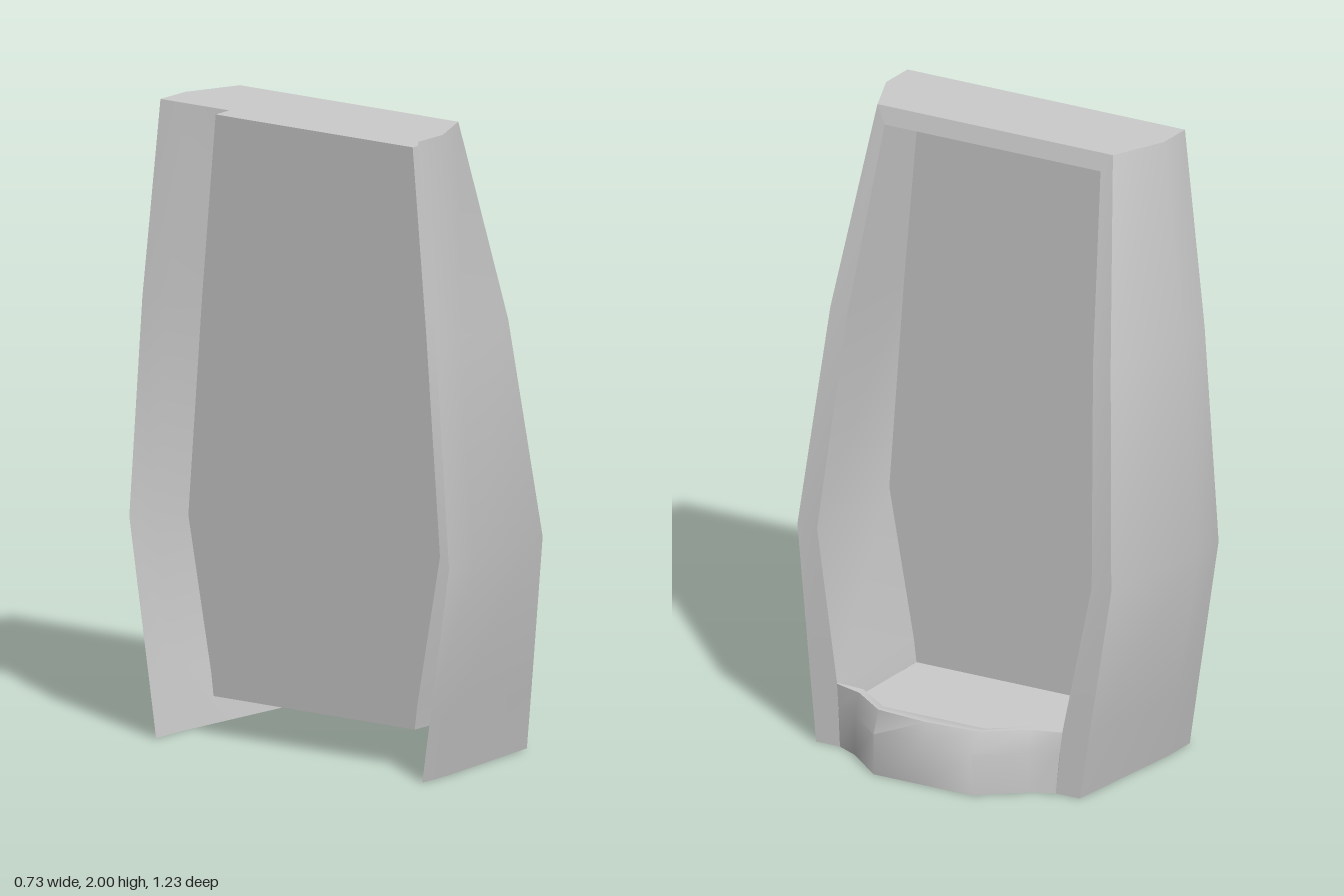
import * as THREE from 'three';
import { toCreasedNormals } from 'three/addons/utils/BufferGeometryUtils.js';

const material = new THREE.MeshStandardMaterial({ color: 0xcccccc, side: THREE.DoubleSide });

// Levels of the hood: y, front edge x, and half widths at the back, outer front and opening
const levels = [
  { y: 0, x: 0.213, back: 0.512, front: 0.47, open: 0.385 },
  { y: 0.2, x: 0.202, back: 0.542, front: 0.497, open: 0.402 },
  { y: 0.68, x: 0.175, back: 0.615, front: 0.56, open: 0.49 },
  { y: 1.37, x: 0.08, back: 0.565, front: 0.5, open: 0.437 },
  { y: 2, x: -0.065, back: 0.495, front: 0.42, open: 0.385 },
];
const BACK = -0.365, PANEL = -0.24, FLOOR = 0.127;
const CEILING = 1.945, CEILING_X = -0.05;

// Skin over rows of points; columns run right and rows run up as seen from the face
function skin(name, rows, crease = 0.5) {
  const cols = rows[0].length, index = [];
  for (let i = 0; i < rows.length - 1; i++) {
    for (let j = 0; j < cols - 1; j++) {
      const a = i * cols + j, b = a + 1, d = a + cols, c = d + 1;
      index.push(a, b, c, a, c, d);
    }
  }
  const geometry = new THREE.BufferGeometry();
  geometry.setAttribute('position', new THREE.Float32BufferAttribute(rows.flat(2), 3));
  geometry.setIndex(index);
  const mesh = new THREE.Mesh(toCreasedNormals(geometry, crease), material);
  mesh.name = name;
  return mesh;
}

const mirror = ([x, y, z]) => [x, y, -z];

// A skin on the +z side and its mirror image on the -z side
function pair(name, rows) {
  return [
    skin(name + 'Left', rows),
    skin(name + 'Right', rows.map((row) => row.map(mirror).reverse())),
  ];
}

export function createModel() {
  const group = new THREE.Group();
  group.name = 'hoodedBooth';

  // Outer side walls, straight at the back and tapering to the front edge
  group.add(...pair('sideWall', levels.map((l) => [
    [BACK, l.y, l.back], [PANEL, l.y, l.back], [l.x, l.y, l.front],
  ])));

  // Inner edge of the opening, stopping at the ceiling
  const edge = levels.map((l) => (l.y === 2 ? [CEILING_X, CEILING, l.open] : [l.x, l.y, l.open]));

  // Front rim between the outer walls and the opening
  group.add(...pair('sideRim', levels.map((l, i) => [[l.x, l.y, l.front], edge[i]])));
  const top = levels[4];
  group.add(skin('topRim', [
    [edge[4], mirror(edge[4])],
    [[top.x, 2, top.front], [top.x, 2, -top.front]],
  ]));

  // Flat roof
  const roofHalf = [[BACK, 2, top.back], [PANEL, 2, top.back], [top.x, 2, top.front]];
  group.add(skin('roof', [roofHalf, roofHalf.map(mirror)]));

  // Recess: inner walls, back panel and ceiling
  const inner = [[0.206, FLOOR, 0.393], ...edge.slice(1)];
  const atPanel = ([, y, z]) => [PANEL, y, z - 0.006];
  group.add(...pair('innerWall', inner.map((p) => [p, atPanel(p)])));
  group.add(skin('backPanel', inner.map((p) => [atPanel(p), mirror(atPanel(p))])));
  const ceilingBack = atPanel(edge[4]);
  group.add(skin('ceiling', [
    [ceilingBack, mirror(ceilingBack)], [edge[4], mirror(edge[4])],
  ]));

  // Bowed front lip: x and z of the floor, inner top, outer top, shoulder and foot
  const lipHalf = [
    [[0.16, 0.387], [0.195, 0.402], [0.202, 0.402], [0.207, 0.395], [0.213, 0.385]],
    [[0.175, 0.31], [0.2, 0.31], [0.232, 0.305], [0.25, 0.31], [0.25, 0.31]],
    [[0.21, 0.18], [0.295, 0.18], [0.325, 0.18], [0.362, 0.175], [0.362, 0.175]],
    [[0.214, 0], [0.295, 0], [0.34, 0], [0.362, 0], [0.362, 0]],
  ];
  const heights = [FLOOR, 0.198, 0.198, 0.13, 0];
  const half = lipHalf.map((s) => s.map(([x, z], i) => [x, heights[i], z]));
  const stations = [...half, ...half.slice(0, 3).reverse().map((s) => s.map(mirror))];
  const rows = heights.map((_, i) => stations.map((s) => s[i])).reverse();
  group.add(skin('frontLip', rows, 0.75));

  // Floor between the back panel and the foot of the lip's inner face
  const floorFront = rows[4];
  group.add(skin('floor', [
    floorFront,
    floorFront.map(([, , z]) => [PANEL, FLOOR, z]),
  ]));

  return group;
}
